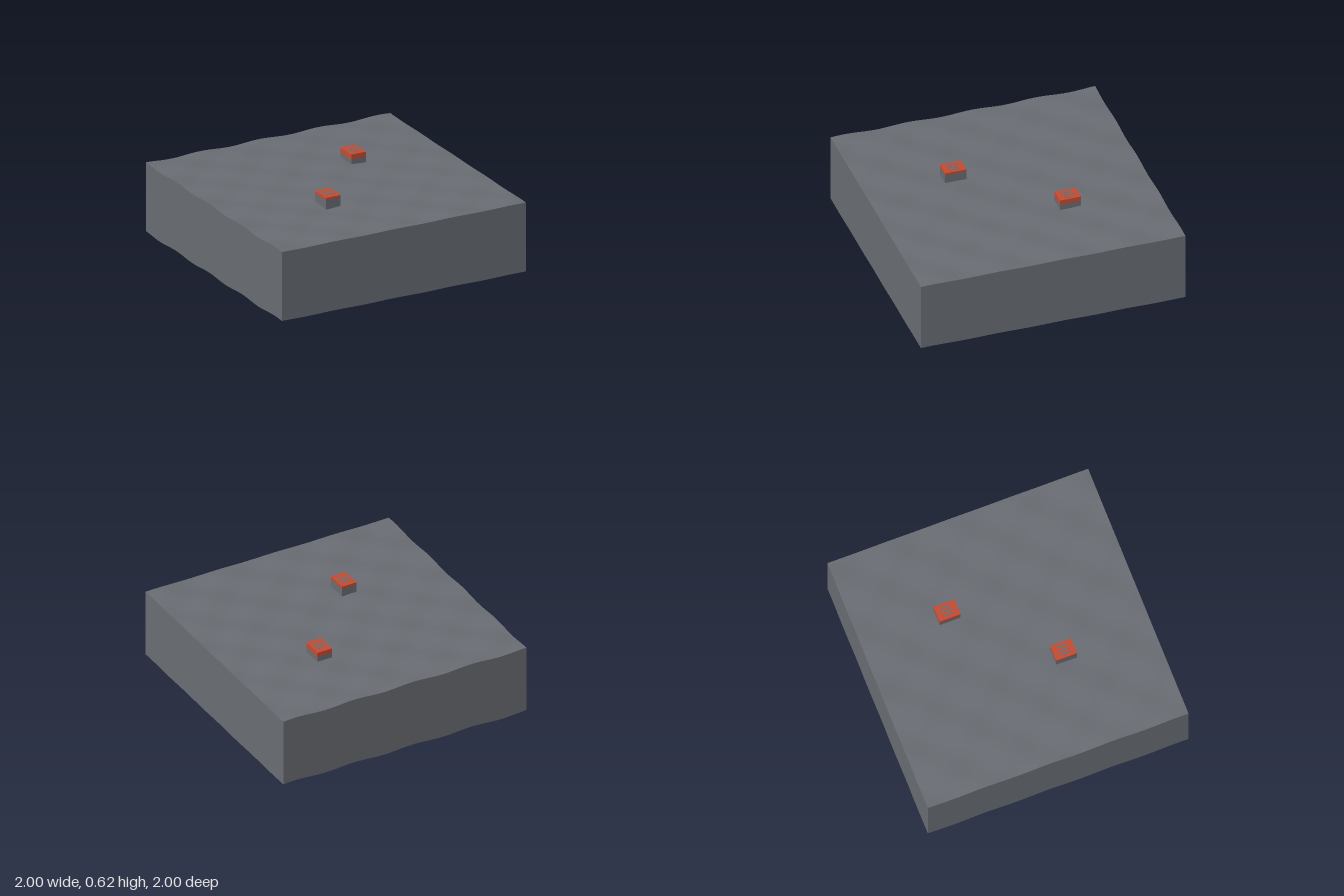
import * as THREE from 'three';

const slate = new THREE.MeshStandardMaterial({ color: 0x696d73, side: THREE.DoubleSide });
slate.name = 'slate grey';
const red = new THREE.MeshStandardMaterial({ color: 0xc64b31 });
red.name = 'brick red';

// Gentle ripple shared by the top surface and the skirt's lower rim
const ripple = (x, z) => 0.007 * Math.cos(13 * (x + 0.07)) * Math.cos(13 * (z + 0.07));
const TOP = 0.537;
const RIM = 0.007;
const SEGMENTS = 64;

function addMesh(parent, name, geometry, material, x = 0, y = 0, z = 0) {
  const mesh = new THREE.Mesh(geometry, material);
  mesh.name = name;
  mesh.position.set(x, y, z);
  parent.add(mesh);
  return mesh;
}

// Rippled ground sheet
function groundGeometry() {
  const geometry = new THREE.PlaneGeometry(2, 2, SEGMENTS, SEGMENTS).rotateX(-Math.PI / 2);
  const p = geometry.attributes.position;
  for (let i = 0; i < p.count; i++) p.setY(i, TOP + ripple(p.getX(i), p.getZ(i)));
  geometry.computeVertexNormals();
  return geometry;
}

// One side wall whose upper and lower edges follow the ripple
function wallGeometry(turn) {
  const geometry = new THREE.PlaneGeometry(2, 1, SEGMENTS, 1);
  geometry.translate(0, 0, 1).rotateY(turn);
  const p = geometry.attributes.position;
  for (let i = 0; i < p.count; i++) {
    const base = p.getY(i) > 0 ? TOP : RIM;
    p.setY(i, base + ripple(p.getX(i), p.getZ(i)));
  }
  return geometry;
}

// Small block: grey body, red cap and three grey slots on the roof
function makeBlock(name, x, z, top, capHeight) {
  const block = new THREE.Group();
  block.name = name;
  block.position.set(x, 0, z);
  const width = 0.12, depth = 0.16, bottom = 0.53;
  const bodyHeight = top - capHeight - bottom;
  addMesh(block, 'blockBody', new THREE.BoxGeometry(width, bodyHeight, depth), slate,
    0, bottom + bodyHeight / 2, 0);
  addMesh(block, 'blockCap', new THREE.BoxGeometry(width, capHeight, depth), red,
    0, top - capHeight / 2, 0);
  for (const sx of [-0.029, 0, 0.029]) {
    addMesh(block, 'roofSlot', new THREE.BoxGeometry(0.013, 0.003, 0.08), slate, sx, top, 0);
  }
  return block;
}

export function createModel() {
  const model = new THREE.Group();
  model.name = 'terrainTile';

  addMesh(model, 'ground', groundGeometry(), slate);
  ['frontWall', 'rightWall', 'backWall', 'leftWall'].forEach((name, i) => {
    addMesh(model, name, wallGeometry(i * Math.PI / 2), slate);
  });

  model.add(makeBlock('frontBlock', -0.25, 0.33, 0.62, 0.018));
  model.add(makeBlock('backBlock', 0.33, -0.34, 0.612, 0.038));
  return model;
}
